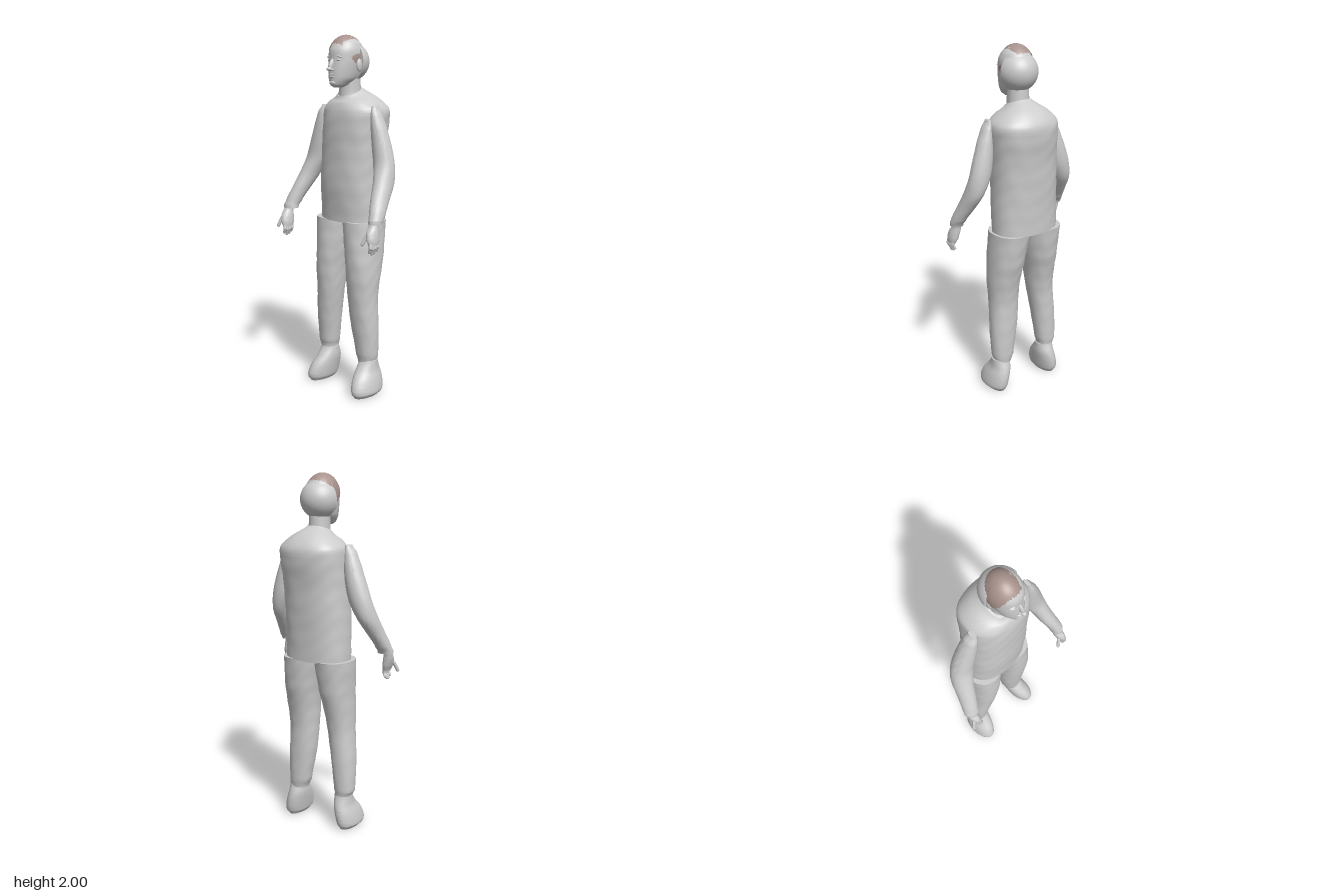
import * as THREE from 'three';
import { toCreasedNormals } from 'three/addons/utils/BufferGeometryUtils.js';

const grey = new THREE.MeshStandardMaterial({ color: 0xcccccc });
grey.name = 'light grey';
const brown = new THREE.MeshStandardMaterial({ color: 0xa8928c, side: THREE.DoubleSide });
brown.name = 'hair brown';

const HEAD_X = 0.018;

function mesh(name, geometry, material = grey) {
  const m = new THREE.Mesh(geometry, material);
  m.name = name;
  return m;
}

// Smooth interpolation through the rows of a loft
function sample(rows, i, t) {
  const at = (k) => rows[Math.min(Math.max(k, 0), rows.length - 1)];
  const [a, b, c, d] = [at(i - 1), at(i), at(i + 1), at(i + 2)];
  return [0, 1, 2, 3, 4, 5].map((k) => {
    const [p, q, r, s] = [a, b, c, d].map((row) => row[k] || 0);
    if (k === 0) return q + (r - q) * t;
    return q + 0.5 * t * (r - p + t * (2 * p - 5 * q + 4 * r - s + t * (3 * (q - r) + s - p)));
  });
}

// Body part from level rings; row = [y, xMin, xMax, zBack, zFront, forward tilt]
function loft(name, rows, { power = 2, lump = 0, sides = 36, steps = 5 } = {}) {
  const rings = [];
  for (let i = 0; i < rows.length - 1; i++)
    for (let s = 0; s < steps; s++) rings.push(sample(rows, i, s / steps));
  rings.push(sample(rows, rows.length - 1, 0));
  const pos = [], index = [];
  const bend = (v) => Math.sign(v) * Math.abs(v) ** (2 / power);
  rings.forEach(([y, x0, x1, z0, z1, tilt]) => {
    const cx = (x0 + x1) / 2, cz = (z0 + z1) / 2;
    for (let j = 0; j < sides; j++) {
      const a = (j / sides) * Math.PI * 2;
      const k = 1 + lump * Math.sin(y * 43 + 2 * Math.sin(a * 3)) * Math.cos(a * 4 + y * 19);
      const dz = bend(Math.sin(a)) * (z1 - z0) / 2 * k;
      pos.push(cx + bend(Math.cos(a)) * (x1 - x0) / 2 * k, y - dz * tilt, cz + dz);
    }
  });
  for (let i = 0; i < rings.length - 1; i++)
    for (let j = 0; j < sides; j++) {
      const a = i * sides + j, c = i * sides + (j + 1) % sides;
      index.push(a, a + sides, c, c, a + sides, c + sides);
    }
  // Close both ends
  const last = (rings.length - 1) * sides, base = pos.length / 3;
  for (const [y, x0, x1, z0, z1] of [rings[0], rings[rings.length - 1]])
    pos.push((x0 + x1) / 2, y, (z0 + z1) / 2);
  for (let j = 0; j < sides; j++) {
    const n = (j + 1) % sides;
    index.push(base, j, n, base + 1, last + n, last + j);
  }
  const g = new THREE.BufferGeometry();
  g.setAttribute('position', new THREE.Float32BufferAttribute(pos, 3));
  g.setIndex(index);
  return mesh(name, toCreasedNormals(g, 0.9));
}

function blob(name, x, y, z, rx, ry, rz) {
  const m = mesh(name, new THREE.SphereGeometry(1, 20, 14));
  m.position.set(x, y, z);
  m.scale.set(rx, ry, rz);
  return m;
}

// Hair shell whose lower edge follows the hairline, ragged at the fringe
function hairGeometry() {
  const pos = [], index = [], around = 96, down = 12;
  for (let j = 0; j <= around; j++) {
    const a = (j / around) * Math.PI * 2;
    const front = Math.sin(a), side = Math.abs(Math.cos(a));
    const ragged = (j % 3) * 0.035 + (j % 5) * 0.012;
    const low = (front > 0 ? 0.98 : 0.9) + 0.95 * side ** 4 * (front > -0.3 ? 1 : 0.4) - ragged;
    for (let i = 0; i <= down; i++) {
      const t = (i / down) * low;
      pos.push(HEAD_X - 0.004 + 0.091 * Math.sin(t) * Math.cos(a), 1.88 + 0.12 * Math.cos(t),
        0.02 + 0.108 * Math.sin(t) * front);
    }
  }
  for (let j = 0; j < around; j++)
    for (let i = 0; i < down; i++) {
      const a = j * (down + 1) + i, b = a + down + 1;
      index.push(a, b, a + 1, b, b + 1, a + 1);
    }
  const g = new THREE.BufferGeometry();
  g.setAttribute('position', new THREE.Float32BufferAttribute(pos, 3));
  g.setIndex(index);
  g.computeVertexNormals();
  return g;
}

function createHead() {
  const head = new THREE.Group();
  head.name = 'head';
  head.add(loft('neck', [
    [1.64, -0.045, 0.085, -0.07, 0.065], [1.7, -0.04, 0.078, -0.065, 0.06], [1.8, -0.04, 0.076, -0.06, 0.06],
  ]));
  head.add(loft('face', [
    [1.722, 0.0, 0.036, 0.06, 0.11], [1.735, -0.02, 0.056, 0.02, 0.13], [1.77, -0.046, 0.082, -0.04, 0.134],
    [1.82, -0.06, 0.096, -0.07, 0.132], [1.87, -0.067, 0.103, -0.08, 0.126], [1.92, -0.066, 0.102, -0.08, 0.12],
    [1.96, -0.05, 0.086, -0.055, 0.095], [1.985, -0.022, 0.058, -0.02, 0.06], [1.992, 0.008, 0.028, 0.01, 0.03],
  ], { power: 2.1 }));
  // Back of the skull, a half dome open to the front
  const dome = mesh('skullCap', new THREE.SphereGeometry(1, 40, 28, Math.PI, Math.PI));
  dome.geometry.rotateY(Math.PI);
  dome.geometry.scale(0.108, 0.107, 0.113);
  dome.geometry.rotateY(Math.PI);
  dome.position.set(HEAD_X, 1.86, 0.003);
  const rim = mesh('skullCapRim', new THREE.CircleGeometry(1, 40));
  rim.position.copy(dome.position);
  rim.scale.set(0.108, 0.107, 1);
  head.add(dome, rim, mesh('hair', hairGeometry(), brown));
  // Facial features
  const bridge = blob('noseBridge', HEAD_X, 1.843, 0.132, 0.011, 0.034, 0.017);
  bridge.rotation.x = -0.42;
  head.add(bridge, blob('noseTip', HEAD_X, 1.82, 0.148, 0.013, 0.011, 0.018));
  head.add(blob('upperLip', HEAD_X, 1.791, 0.132, 0.024, 0.005, 0.009));
  head.add(blob('lowerLip', HEAD_X, 1.78, 0.131, 0.02, 0.006, 0.009));
  head.add(blob('chin', HEAD_X, 1.748, 0.118, 0.025, 0.017, 0.02));
  for (const s of [-1, 1]) {
    head.add(blob('nostril', HEAD_X + s * 0.011, 1.816, 0.136, 0.008, 0.007, 0.011));
    head.add(blob('eye', HEAD_X + s * 0.032, 1.867, 0.114, 0.014, 0.007, 0.009));
    const brow = blob('brow', HEAD_X + s * 0.034, 1.885, 0.111, 0.022, 0.005, 0.011);
    brow.rotation.z = -s * 0.12;
    head.add(brow, blob('ear', HEAD_X + s * 0.088, 1.84, 0.012, 0.011, 0.034, 0.02));
  }
  return head;
}

// Finger as a short capsule between two points
function finger(name, from, to, radius) {
  const a = new THREE.Vector3(...from), b = new THREE.Vector3(...to);
  const m = mesh(name, new THREE.CapsuleGeometry(radius, a.distanceTo(b), 4, 10));
  m.position.copy(a).add(b).multiplyScalar(0.5);
  m.quaternion.setFromUnitVectors(new THREE.Vector3(0, 1, 0), b.sub(a).normalize());
  return m;
}

function createHand(name, x) {
  const hand = new THREE.Group();
  hand.name = name;
  hand.add(loft('palm', [
    [0.925, 0.0, 0.035, 0.125, 0.195], [0.95, -0.012, 0.036, 0.115, 0.2], [0.99, -0.025, 0.03, 0.11, 0.19],
    [1.02, -0.028, 0.022, 0.108, 0.165], [1.05, -0.028, 0.022, 0.1, 0.155],
  ], { sides: 20 }));
  for (let i = 0; i < 4; i++) {
    const z = 0.135 + i * 0.017, drop = [0.893, 0.882, 0.878, 0.89][i];
    hand.add(finger('finger', [0.02, 0.935, z], [0.024, (drop + 0.935) / 2, z + 0.003], 0.0095));
    hand.add(finger('fingerTip', [0.024, (drop + 0.935) / 2, z + 0.003], [0.014, drop, z], 0.008));
  }
  hand.add(finger('thumb', [-0.018, 0.97, 0.175], [-0.034, 0.925, 0.19], 0.01));
  hand.position.x = x;
  return hand;
}

export function createModel() {
  const model = new THREE.Group();
  model.name = 'standingPerson';
  model.add(createHead());
  model.add(loft('torso', [
    [0.99, -0.19, 0.195, -0.165, 0.095], [1.2, -0.185, 0.195, -0.175, 0.11], [1.4, -0.176, 0.2, -0.187, 0.11],
    [1.55, -0.17, 0.213, -0.205, 0.108], [1.61, -0.165, 0.208, -0.2, 0.1], [1.655, -0.12, 0.16, -0.16, 0.085, 0.08],
    [1.7, -0.05, 0.085, -0.07, 0.065, 0.35],
  ], { power: 2.3, lump: 0.009, sides: 56, steps: 8 }));
  // Sleeved arms
  model.add(loft('leftArm', [
    [1.03, 0.308, 0.378, 0.09, 0.17], [1.06, 0.302, 0.378, 0.07, 0.163], [1.15, 0.272, 0.36, 0.008, 0.125],
    [1.23, 0.248, 0.347, -0.045, 0.085], [1.32, 0.215, 0.333, -0.062, 0.05], [1.42, 0.198, 0.308, -0.06, 0.042],
    [1.52, 0.193, 0.275, -0.05, 0.04], [1.59, 0.195, 0.245, -0.038, 0.034], [1.63, 0.2, 0.222, -0.027, 0.022],
  ]));
  model.add(loft('rightArm', [
    [1.03, -0.38, -0.288, 0.09, 0.17], [1.06, -0.375, -0.286, 0.07, 0.163], [1.15, -0.356, -0.26, 0.008, 0.125],
    [1.23, -0.342, -0.23, -0.045, 0.085], [1.32, -0.32, -0.19, -0.065, 0.052], [1.42, -0.286, -0.165, -0.066, 0.046],
    [1.52, -0.247, -0.152, -0.055, 0.042], [1.59, -0.215, -0.152, -0.04, 0.036], [1.625, -0.185, -0.157, -0.027, 0.024],
  ]));
  model.add(createHand('leftHand', 0.342), createHand('rightHand', -0.345));
  // Trouser legs
  model.add(loft('leftLeg', [
    [0.18, 0.098, 0.2, -0.07, 0.035], [0.22, 0.082, 0.21, -0.075, 0.042], [0.4, 0.052, 0.215, -0.08, 0.062],
    [0.57, 0.04, 0.21, -0.083, 0.082], [0.7, 0.035, 0.217, -0.105, 0.095], [0.82, 0.022, 0.215, -0.135, 0.1],
    [0.995, 0.0, 0.208, -0.16, 0.095],
  ], { power: 2.2, lump: 0.014, steps: 8 }));
  model.add(loft('rightLeg', [
    [0.2, -0.21, -0.115, -0.07, 0.035], [0.23, -0.224, -0.107, -0.075, 0.042], [0.4, -0.223, -0.085, -0.08, 0.062],
    [0.57, -0.208, -0.06, -0.083, 0.082], [0.7, -0.205, -0.042, -0.105, 0.095], [0.82, -0.205, -0.022, -0.135, 0.1],
    [0.995, -0.212, 0.0, -0.16, 0.095],
  ], { power: 2.2, lump: 0.014, steps: 8 }));
  // Feet, mirrored
  for (const s of [-1, 1]) {
    const rows = [
      [0, 0.14, 0.225, -0.07, 0.115], [0.02, 0.125, 0.243, -0.085, 0.129], [0.05, 0.118, 0.243, -0.093, 0.13],
      [0.1, 0.11, 0.232, -0.094, 0.108], [0.145, 0.105, 0.217, -0.085, 0.07], [0.2, 0.107, 0.213, -0.065, 0.03],
    ].map(([y, a, b, ...z]) => (s > 0 ? [y, a, b, ...z] : [y, -b, -a, ...z]));
    model.add(loft(s > 0 ? 'leftFoot' : 'rightFoot', rows));
  }
  return model;
}
